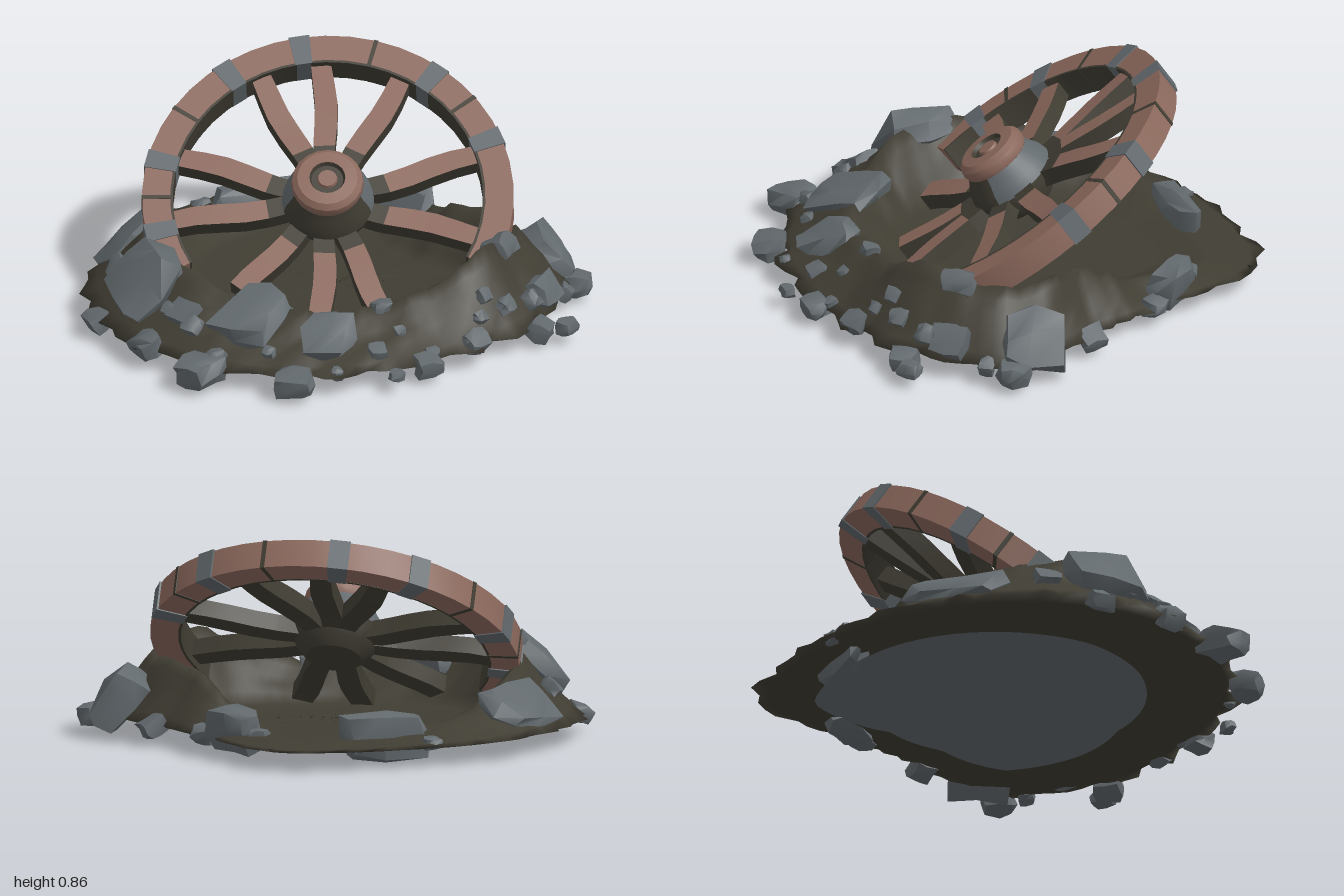
import * as THREE from 'three';
import { toCreasedNormals } from 'three/addons/utils/BufferGeometryUtils.js';

const DEG = Math.PI / 180;
const lerp = THREE.MathUtils.lerp;

const material = (name, color) => {
  const m = new THREE.MeshStandardMaterial({ color });
  m.name = name;
  return m;
};

function seeded(seed) {
  return () => {
    seed = (seed * 16807) % 2147483647;
    return seed / 2147483647;
  };
}

// Mound outline and crest height around the circle, angle 0 = +x, 90 = +z
const outline = [.9, .87, .81, .89, .96, 1, .97, .95, .93, .99, .7, .69];
const crestHeight = [.31, .35, .22, .19, .23, .33, .29, .16, .1, .08, .13, .28];

function sample(list, turn) {
  const f = (turn - Math.floor(turn)) * list.length;
  const i = Math.floor(f);
  return lerp(list[i % list.length], list[(i + 1) % list.length], f - i);
}

// Floor edge, crest and outer radius of the mound; the front slope is longer
function radii(turn) {
  const front = Math.max(0, Math.sin(turn * Math.PI * 2));
  const outer = sample(outline, turn), crest = outer * (.77 - .1 * front * front);
  return [crest - .18, crest, outer];
}

function heightAt(x, z) {
  const turn = Math.atan2(z, x) / (Math.PI * 2), r = Math.hypot(x, z);
  const [inner, crest, outer] = radii(turn);
  const k = r < crest ? (r - inner) / (crest - inner) : (outer - r) / (outer - crest);
  return lerp(.06, sample(crestHeight, turn), THREE.MathUtils.clamp(k, 0, 1));
}

export function createModel() {
  const model = new THREE.Group();
  model.name = 'buriedWheel';
  const rng = seeded(41);
  const soil = material('dark soil', 0x403d33);
  const wood = material('red brown wood', 0x8c695d);
  const stone = material('grey stone', 0x62696d);
  const add = (parent, name, geometry, mat) => {
    const mesh = new THREE.Mesh(geometry, mat);
    mesh.name = name;
    parent.add(mesh);
    return mesh;
  };

  // ---- Soil mound: rings from the floor over the crest and back underneath ----
  const sectors = 90, topRings = 14, underRings = 4;
  const positions = [], index = [];
  for (let i = 0; i < topRings + underRings; i++) {
    for (let j = 0; j < sectors; j++) {
      const turn = j / sectors, a = turn * Math.PI * 2;
      const [inner, crest, outer] = radii(turn);
      let r, y;
      if (i < topRings) {
        if (i < 2) r = i * inner * .5;
        else r = i < 7 ? lerp(inner, crest, (i - 2) / 5) : lerp(crest, outer, (i - 7) / 6);
        const x = Math.cos(a) * r, z = Math.sin(a) * r;
        const bump = Math.sin(x * 23 + Math.sin(z * 17) * 2) * Math.cos(z * 21 + x * 6);
        y = heightAt(x, z);
        y += (bump * .018 + (rng() - .5) * .012) * Math.min(1, (y - .05) * 8);
        if (i === topRings - 1) r += bump * .03 + (rng() - .5) * .04;
      } else {
        const k = (i - topRings) / (underRings - 1);
        r = outer * (k === 1 ? 0 : .95 - k * (.4 + .12 * Math.sin(a)));
        y = .05 - k * .012;
      }
      positions.push(Math.cos(a) * r, y, Math.sin(a) * r);
    }
  }
  for (let i = 0; i < topRings + underRings - 1; i++) {
    for (let j = 0; j < sectors; j++) {
      const a = i * sectors + j, d = i * sectors + (j + 1) % sectors;
      const b = a + sectors, c = d + sectors;
      index.push(a, c, b, a, d, c);
    }
  }
  const mound = new THREE.BufferGeometry();
  mound.setAttribute('position', new THREE.Float32BufferAttribute(positions, 3));
  mound.setIndex(index);
  mound.computeVertexNormals();
  const slate = sectors * 6; // the last strip is the slate underside
  mound.addGroup(0, index.length - slate, 0);
  mound.addGroup(index.length - slate, slate, 1);
  add(model, 'soilMound', mound, [soil, stone]);

  // ---- Stones: rounded irregular blocks lying along the slope ----
  const stones = new THREE.Group();
  stones.name = 'stones';
  model.add(stones);
  function addStone(name, x, z, w, h, d) {
    const g = new THREE.BoxGeometry(1, 1, 1, 2, 2, 2);
    const p = g.attributes.position, v = new THREE.Vector3(), moved = {};
    const jitter = () => (rng() - .5) * .2;
    for (let i = 0; i < p.count; i++) {
      v.fromBufferAttribute(p, i);
      const key = v.toArray().join();
      if (!moved[key]) {
        const ball = v.clone().normalize().multiplyScalar(.6);
        moved[key] = v.clone().lerp(ball, .55).add(new THREE.Vector3(jitter(), jitter(), jitter()));
      }
      p.setXYZ(i, ...moved[key].toArray());
    }
    g.scale(w, h, d);
    const mesh = add(stones, name, toCreasedNormals(g, .8), stone);
    const step = .05 / Math.hypot(x, z);
    const drop = heightAt(x * (1 - step), z * (1 - step)) - heightAt(x * (1 + step), z * (1 + step));
    const tilt = Math.atan(drop / .1);
    const halfRise = (h * Math.cos(tilt) + d * Math.abs(Math.sin(tilt))) * .47;
    mesh.position.set(x, Math.max(heightAt(x, z) - h * .1, halfRise), z);
    mesh.rotation.set(tilt, Math.atan2(x, z) + (rng() - .5) * .4, 0, 'YXZ');
  }
  // x, z, width along the slope, height, depth outward
  [
    [-.74, .37, .28, .15, .27], [-.32, .62, .25, .1, .27], [-.03, .7, .19, .1, .22],
    [-.52, .84, .16, .1, .17], [.8, -.1, .25, .15, .25], [-.81, -.2, .36, .09, .22],
    [-.35, -.65, .34, .17, .1], [.24, -.64, .22, .18, .11]
  ].forEach((s) => addStone('largeStone', ...s));
  // x, z, width
  [
    [-.15, .93, .14], [-.73, .63, .12], [.93, -.03, .12], [.8, .22, .15], [.8, .4, .11],
    [.9, .38, .08], [.63, .18, .14], [.13, -.71, .07], [-.55, -.68, .07], [.37, -.57, .1],
    [-.58, .58, .12], [.37, .75, .11], [.25, .86, .06], [.55, .59, .1], [.66, .42, .08],
    [-.93, .36, .1], [-.85, .15, .1], [.18, .54, .08], [.63, -.33, .11]
  ].forEach(([x, z, w]) => addStone('stone', x, z, w, w * .7, w * .85));
  for (let i = 0; i < 14; i++) {
    const turn = (5 + 165 * (i + rng()) / 14) / 360, a = turn * Math.PI * 2;
    const [, crest, outer] = radii(turn);
    const r = lerp(crest, outer, .3 + rng() * .7), s = .04 + rng() * .04;
    addStone('pebble', Math.cos(a) * r, Math.sin(a) * r, s, s, s);
  }

  // ---- Wheel, leaning back; local z is the axle ----
  const wheel = new THREE.Group();
  wheel.name = 'wheel';
  wheel.position.set(-.04, .38, -.03);
  wheel.rotation.x = -55 * DEG;
  model.add(wheel);

  // Curved block between two radii and two angles
  function sector(name, r0, r1, from, to, depth, mat) {
    const steps = Math.max(1, Math.round((to - from) / 8));
    const pts = [];
    const arc = (r, i) => {
      const a = lerp(from, to, i / steps) * DEG;
      pts.push(new THREE.Vector2(Math.cos(a) * r, Math.sin(a) * r));
    };
    for (let i = 0; i <= steps; i++) arc(r1, i);
    for (let i = steps; i >= 0; i--) arc(r0, i);
    const g = new THREE.ExtrudeGeometry(new THREE.Shape(pts), { depth, bevelEnabled: false });
    g.translate(0, 0, -depth / 2);
    add(wheel, name, toCreasedNormals(g, .5), mat);
  }
  sector('rim', .615, .725, -26, 210, .115, wood);
  sector('rimInnerFace', .605, .615, -26, 210, .117, soil);
  [23, 54, 100, 126, 167, 194].forEach((a) => sector('rimBand', .604, .731, a - 3.2, a + 3.2, .123, stone));
  [39, 76, 147, 181].forEach((a) => sector('rimJoint', .604, .727, a - .7, a + .7, .119, soil));

  // Spokes: worn wood on the face, soil on the sides and near the hub
  function spokePart(parent, name, from, to, wave, mats) {
    const g = new THREE.BoxGeometry(to - from, .078, .07, 4, 1, 1);
    g.translate((from + to) / 2, 0, 0);
    const p = g.attributes.position;
    for (let i = 0; i < p.count; i++) {
      const x = p.getX(i);
      const width = .8 + .35 * Math.sin(Math.min(1, x / .6) * Math.PI * .8);
      p.setY(i, p.getY(i) * width + Math.sin(x * 14 + wave) * .008);
      p.setZ(i, p.getZ(i) + Math.sin(x * 9 + wave) * .004);
    }
    add(parent, name, toCreasedNormals(g, .5), mats);
  }
  const wornFace = [soil, soil, soil, soil, wood, soil];
  [117, 93, 63, 20, -15, -66, -92, -129, 190, 162].forEach((a) => {
    const spoke = new THREE.Group(), wave = rng() * 6;
    spoke.name = 'spoke';
    spoke.rotation.z = a * DEG;
    spokePart(spoke, 'spokeRoot', .1, .24, wave, soil);
    spokePart(spoke, 'spokeArm', .24, a < -20 ? .53 : .615, wave, wornFace);
    wheel.add(spoke);
  });

  // Hub: lathe rings of radius and height, stacked along the axle
  function hubPart(name, profile, mat, start = 0, sweep = Math.PI * 2) {
    const points = profile.map(([r, h]) => new THREE.Vector2(r, h));
    const g = new THREE.LatheGeometry(points, 20, start, sweep);
    g.rotateX(Math.PI / 2);
    add(wheel, name, toCreasedNormals(g, .6), mat);
  }
  const collar = [[.18, .03], [.17, .07], [.145, .11], [.135, .135]];
  hubPart('hubBase', [[0, -.09], [.11, -.09], [.15, -.05], [.175, 0], [.18, .03]], soil);
  hubPart('hubCollar', collar, stone, Math.PI * .4, Math.PI * 1.2);
  hubPart('hubCollarSoil', collar, soil, Math.PI * -.4, Math.PI * .8);
  hubPart('hubCap', [[.135, .135], [.142, .155], [.138, .18], [.118, .2], [.07, .204]], wood);
  hubPart('hubGroove', [[.07, .204], [.062, .188], [.04, .188]], soil);
  hubPart('axleEnd', [[.04, .188], [.036, .2], [0, .2]], wood);

  return model;
}
